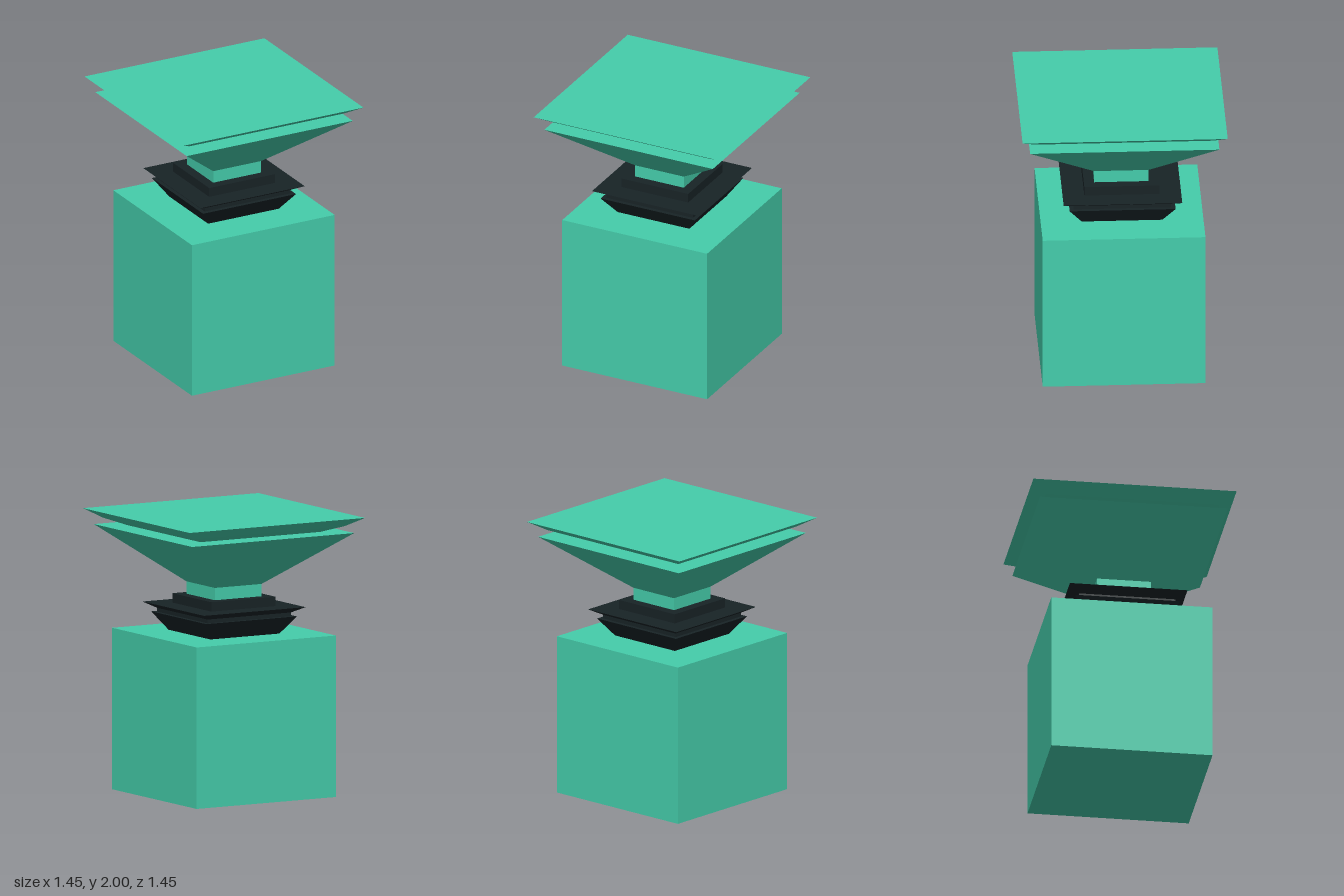
import * as THREE from 'three';

export function createModel() {
  const model = new THREE.Group();
  const green = new THREE.MeshStandardMaterial({ color: 0x45cdab, flatShading: true });
  const black = new THREE.MeshStandardMaterial({ color: 0x182326, flatShading: true });

  // Square tier from height y0 to y1, with half widths at bottom and top
  function tier(name, material, y0, y1, bottom, top = bottom) {
    const geometry = new THREE.CylinderGeometry(top * Math.SQRT2, bottom * Math.SQRT2, y1 - y0, 4);
    geometry.rotateY(Math.PI / 4);
    const mesh = new THREE.Mesh(geometry, material);
    mesh.name = name;
    mesh.position.y = (y0 + y1) / 2;
    model.add(mesh);
  }

  // Cube-shaped body
  tier('body', green, 0, 1.153, 0.576);

  // Dark stepped collar
  tier('collarFoot', black, 1.153, 1.28, 0.285, 0.375);
  tier('collarNeck', black, 1.28, 1.307, 0.345);
  tier('collarFlange', black, 1.307, 1.348, 0.345, 0.42);
  tier('collarRing', black, 1.348, 1.415, 0.266);

  // Stem and flared stopper
  tier('stem', green, 1.415, 1.503, 0.193);
  tier('stopperLower', green, 1.503, 1.889, 0.193, 0.67);
  tier('stopperUpperBevel', green, 1.889, 1.937, 0.495, 0.622);
  tier('stopperTop', green, 1.937, 2, 0.622, 0.726);

  return model;
}
